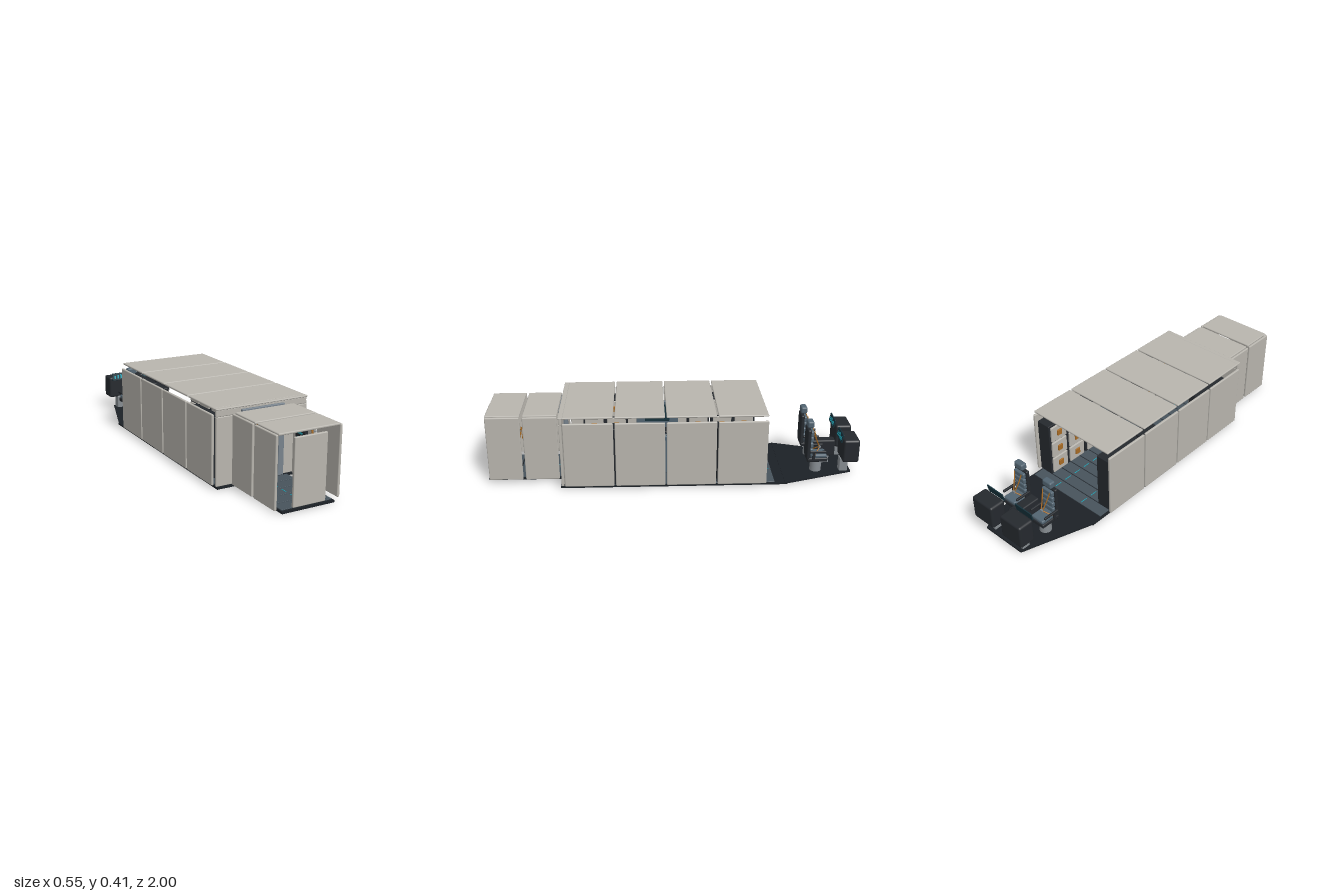
import * as THREE from 'three';
import { RoundedBoxGeometry } from 'three/addons/geometries/RoundedBoxGeometry.js';

const mat = (color, side = THREE.FrontSide) => new THREE.MeshStandardMaterial({ color, side });
const SHELL = mat(0xb8b5ae), DARK = mat(0x25292e), HULL = mat(0x1c2126), STEEL = mat(0x77828c);
const PLATE = mat(0x47535c), PAD = mat(0x526471), ORANGE = mat(0xa86b24), CYAN = mat(0x1fa3b5);
const POST = mat(0x858b90), SCREEN = mat(0x16323c);

// Box given by its low and high corners, with softened edges when r > 0
function box(parent, name, lo, hi, material, r = 0.003) {
  const s = hi.map((v, i) => v - lo[i]);
  const g = r ? new RoundedBoxGeometry(...s, 2, Math.min(r, Math.min(...s) * 0.45)) : new THREE.BoxGeometry(...s);
  const m = new THREE.Mesh(g, material);
  m.name = name;
  m.position.set(...hi.map((v, i) => (v + lo[i]) / 2));
  parent.add(m);
  return m;
}

// The same box on both sides of the centre line
function pair(parent, name, lo, hi, material, r) {
  box(parent, name + 'Left', lo, hi, material, r);
  box(parent, name + 'Right', [-hi[0], lo[1], lo[2]], [-lo[0], hi[1], hi[2]], material, r);
}

function rod(parent, name, points, radius, material) {
  const path = new THREE.CatmullRomCurve3(points.map(p => new THREE.Vector3(...p)));
  const m = new THREE.Mesh(new THREE.TubeGeometry(path, points.length * 4, radius, 8), material);
  m.name = name;
  parent.add(m);
}

function post(parent, name, x, z, y0, y1, radius) {
  const m = new THREE.Mesh(new THREE.CylinderGeometry(radius, radius * 1.1, y1 - y0, 20), POST);
  m.name = name;
  m.position.set(x, (y0 + y1) / 2, z);
  parent.add(m);
}

// Flat outline in x,z raised to a slab
function slab(parent, name, outline, y0, y1, material) {
  const shape = new THREE.Shape(outline.map(([x, z]) => new THREE.Vector2(x, -z)));
  const g = new THREE.ExtrudeGeometry(shape, { depth: y1 - y0, bevelEnabled: false });
  g.rotateX(-Math.PI / 2);
  const m = new THREE.Mesh(g, material);
  m.name = name;
  m.position.y = y0;
  parent.add(m);
}

function makeCabin() {
  const cabin = new THREE.Group();
  cabin.name = 'cabin';
  box(cabin, 'cabinFloor', [-0.255, 0, -0.6], [0.255, 0.009, 0.6], HULL, 0);
  // Cross planks with cyan guide lights
  for (let i = 0; i < 16; i++) {
    const z = -0.535 + i * 0.07;
    box(cabin, 'floorPlank', [-0.245, 0.009, z], [0.245, 0.014, z + 0.064], PLATE, 0.001);
    for (const x of [-0.1, 0.09])
      box(cabin, 'guideLight', [x - 0.002, 0.013, z + 0.01], [x + 0.002, 0.0155, z + 0.05], CYAN, 0);
  }
  // Four bays of wall and roof panels
  for (let i = 0; i < 4; i++) {
    const z0 = -0.487 + i * 0.268, z1 = z0 + 0.26;
    pair(cabin, 'wallPanel', [0.26, 0.016, z0], [0.274, 0.374, z1], SHELL, 0.005);
    box(cabin, 'roofPanel', [-0.262, 0.394, z0], [0.262, 0.405, z1], SHELL, 0.005);
  }
  // Front bulkhead with its door frame
  pair(cabin, 'bulkheadPanel', [0.122, 0.013, 0.582], [0.259, 0.362, 0.596], SHELL);
  box(cabin, 'bulkheadHeader', [-0.259, 0.362, 0.58], [0.259, 0.398, 0.594], SHELL, 0.005);
  box(cabin, 'bulkheadCap', [-0.262, 0.396, 0.574], [0.262, 0.405, 0.6], SHELL, 0.004);
  pair(cabin, 'doorFramePost', [0.09, 0.012, 0.58], [0.122, 0.385, 0.607], STEEL);
  box(cabin, 'doorFrameLintel', [-0.122, 0.364, 0.58], [0.122, 0.386, 0.607], STEEL);
  return cabin;
}

// Storage cabinet of three drawers per column, built for the left wall
function makeCabinet(z0, columns) {
  const g = new THREE.Group();
  g.name = 'storageCabinet';
  const step = 0.125;
  box(g, 'cabinetBody', [0.172, 0.018, z0], [0.256, 0.335, z0 + columns * step], DARK, 0.004);
  for (let c = 0; c < columns; c++) for (let r = 0; r < 3; r++) {
    const z = z0 + c * step, y = 0.028 + r * 0.101;
    box(g, 'drawerFront', [0.162, y, z + 0.01], [0.175, y + 0.093, z + step - 0.01], SHELL, 0.004);
    box(g, 'drawerHandle', [0.155, y + 0.03, z + 0.047], [0.164, y + 0.065, z + 0.078], ORANGE, 0.003);
  }
  return g;
}

function makeAirlock() {
  const lock = new THREE.Group();
  lock.name = 'airlock';
  box(lock, 'airlockFloor', [-0.146, 0, 0.6], [0.146, 0.011, 0.995], HULL, 0);
  for (let i = 0; i < 5; i++) {
    const z = 0.612 + i * 0.075;
    box(lock, 'airlockPlank', [-0.14, 0.01, z], [0.14, 0.015, z + 0.068], PLATE, 0.001);
    box(lock, 'airlockGuideLight', [-0.002, 0.013, z + 0.01], [0.002, 0.0165, z + 0.05], CYAN, 0);
  }
  for (const z of [0.612, 0.806]) {
    pair(lock, 'airlockWall', [0.168, 0.017, z], [0.182, 0.375, z + 0.18], SHELL, 0.005);
    box(lock, 'airlockRoof', [-0.168, 0.369, z], [0.168, 0.381, z + 0.18], SHELL, 0.005);
  }
  box(lock, 'outerDoor', [-0.09, 0.02, 0.985], [0.09, 0.355, 1], SHELL, 0.004);
  // Slanted grab rails with wall brackets
  for (const s of [-1, 1]) {
    rod(lock, 'grabRail', [[s * 0.154, 0.11, 0.845], [s * 0.145, 0.31, 0.8]], 0.005, ORANGE);
    for (const [y, z] of [[0.13, 0.841], [0.29, 0.804]])
      rod(lock, 'railBracket', [[s * 0.15, y, z], [s * 0.17, y, z]], 0.003, STEEL);
  }
  box(lock, 'controlPanel', [0.15, 0.165, 0.66], [0.169, 0.29, 0.74], DARK, 0.004);
  for (const y of [0.2, 0.225, 0.25])
    box(lock, 'controlLight', [0.146, y, 0.68], [0.151, y + 0.008, 0.72], CYAN, 0.001);
  return lock;
}

// Pilot seat facing -z, centred on its own x = 0
function makeSeat() {
  const g = new THREE.Group();
  g.name = 'pilotSeat';
  post(g, 'seatPedestal', 0, -0.78, 0.008, 0.08, 0.029);
  box(g, 'seatBase', [-0.046, 0.075, -0.835], [0.046, 0.098, -0.725], DARK, 0.006);
  box(g, 'seatCushion', [-0.041, 0.095, -0.832], [0.041, 0.117, -0.745], PAD, 0.008);
  box(g, 'backShell', [-0.045, 0.09, -0.74], [0.045, 0.262, -0.72], DARK, 0.007);
  for (let i = 0; i < 4; i++)
    box(g, 'backPad', [-0.037, 0.12 + i * 0.034, -0.756], [0.037, 0.15 + i * 0.034, -0.736], PAD, 0.007);
  box(g, 'headrestStem', [-0.012, 0.255, -0.738], [0.012, 0.28, -0.728], DARK, 0);
  box(g, 'headrest', [-0.03, 0.268, -0.755], [0.03, 0.305, -0.72], PAD, 0.009);
  pair(g, 'armrest', [0.043, 0.13, -0.825], [0.055, 0.143, -0.735], DARK, 0.004);
  pair(g, 'armrestPost', [0.045, 0.09, -0.765], [0.053, 0.133, -0.75], DARK, 0);
  // Harness straps meeting at a buckle
  for (const s of [-1, 1]) {
    rod(g, 'shoulderStrap', [[s * 0.025, 0.25, -0.758], [s * 0.016, 0.2, -0.773], [s * 0.004, 0.145, -0.795]], 0.003, ORANGE);
    rod(g, 'lapStrap', [[s * 0.004, 0.145, -0.795], [s * 0.04, 0.115, -0.765]], 0.003, ORANGE);
  }
  box(g, 'buckle', [-0.008, 0.138, -0.802], [0.008, 0.152, -0.79], STEEL, 0.002);
  return g;
}

// Flight console with a tilted display facing the seat
function makeConsole() {
  const g = new THREE.Group();
  g.name = 'flightConsole';
  box(g, 'consolePedestal', [-0.023, 0.005, -0.953], [0.023, 0.085, -0.908], POST, 0.003);
  box(g, 'consoleBody', [-0.072, 0.08, -1], [0.072, 0.21, -0.912], DARK, 0.012);
  const display = new THREE.Group();
  display.name = 'display';
  display.position.set(0, 0.215, -0.906);
  display.rotation.x = -0.2;
  box(display, 'displayPanel', [-0.058, -0.024, -0.003], [0.058, 0.022, 0.003], SCREEN, 0.002);
  for (let i = 0; i < 5; i++)
    box(display, 'displayBar', [-0.045 + i * 0.02, -0.014, 0.002], [-0.035 + i * 0.02, 0.004 + (i % 3) * 0.005, 0.005], CYAN, 0);
  g.add(display);
  return g;
}

function makeCockpit() {
  const g = new THREE.Group();
  g.name = 'cockpit';
  slab(g, 'cockpitFloor', [[-0.255, -0.59], [0.255, -0.59], [0.15, -0.9], [0.127, -0.97], [-0.127, -0.97], [-0.15, -0.9]], 0.002, 0.011, HULL);
  for (const x of [-0.102, 0.102]) {
    const seat = makeSeat(), desk = makeConsole();
    seat.position.x = x;
    desk.position.x = x;
    g.add(seat, desk);
  }
  box(g, 'centrePedestal', [-0.02, 0.008, -0.87], [0.02, 0.06, -0.81], POST, 0.003);
  box(g, 'centreConsole', [-0.028, 0.055, -0.9], [0.028, 0.148, -0.745], DARK, 0.007);
  return g;
}

export function createModel() {
  const model = new THREE.Group();
  model.name = 'spacecraftInterior';
  model.add(makeCabin(), makeAirlock(), makeCockpit());
  // Cabinets along both walls; a half turn keeps the drawers facing the aisle
  for (const [z, columns] of [[-0.475, 2], [-0.215, 1], [0.25, 2]]) {
    model.add(makeCabinet(z, columns));
    const right = makeCabinet(-z - columns * 0.125, columns);
    right.rotation.y = Math.PI;
    model.add(right);
  }
  // Wall work stations between the cabinets
  pair(model, 'workStation', [0.235, 0.08, -0.04], [0.255, 0.29, 0.2], PAD, 0.005);
  pair(model, 'workDesk', [0.175, 0.115, -0.03], [0.24, 0.13, 0.19], DARK, 0.004);
  pair(model, 'workScreen', [0.231, 0.17, 0.01], [0.237, 0.27, 0.15], SCREEN, 0.002);
  return model;
}
